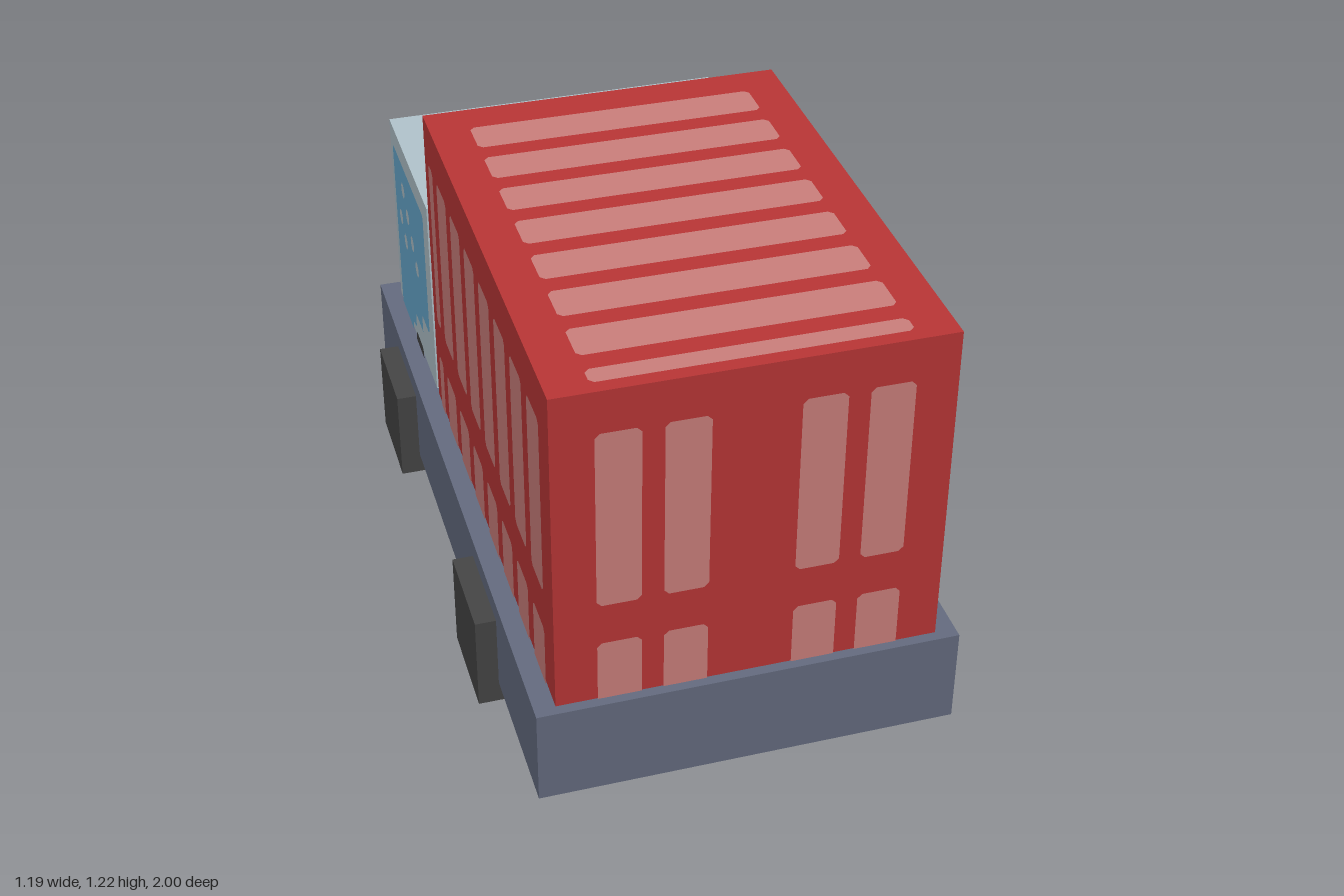
import * as THREE from 'three';

const mat = (name, color) => {
  const m = new THREE.MeshStandardMaterial({ color });
  m.name = name;
  return m;
};

export function createModel() {
  const red = mat('containerRed', 0xb73535);
  const pink = mat('panelPink', 0xc87d7a);
  const pale = mat('cabPaleBlue', 0xafc1c9);
  const blue = mat('glassBlue', 0x65a6cb);
  const slate = mat('chassisSlate', 0x636a7e);
  const dark = mat('tyreGrey', 0x444444);

  const truck = new THREE.Group();
  truck.name = 'truck';

  // Box given by its extents on each axis
  function box(name, material, x0, x1, y0, y1, z0, z1) {
    const mesh = new THREE.Mesh(new THREE.BoxGeometry(x1 - x0, y1 - y0, z1 - z0), material);
    mesh.position.set((x0 + x1) / 2, (y0 + y1) / 2, (z0 + z1) / 2);
    mesh.name = name;
    truck.add(mesh);
  }

  // Group lying on one face of the body; its local x/y run across that face
  function face(name, x, y, z, rx, ry) {
    const g = new THREE.Group();
    g.name = name;
    g.position.set(x, y, z);
    g.rotation.set(rx, ry, 0);
    truck.add(g);
    return g;
  }

  // Flat painted shape with clipped corners where asked
  function plate(parent, name, material, points, lift = 0.003) {
    const shape = new THREE.Shape(points.map(([x, y]) => new THREE.Vector2(x, y)));
    const mesh = new THREE.Mesh(new THREE.ShapeGeometry(shape), material);
    mesh.position.z = lift;
    mesh.name = name;
    parent.add(mesh);
  }
  function clipped(cx, cy, w, h, c = 0.012, cb = c) {
    const x = w / 2, y = h / 2;
    return [[-x + cb, -y], [x - cb, -y], [x, -y + cb], [x, y - c], [x - c, y], [-x + c, y], [-x, y - c], [-x, -y + cb]]
      .map(([a, b]) => [a + cx, b + cy]);
  }

  // Main bodies
  box('chassis', slate, -0.54, 0.54, 0.06, 0.325, -1, 1);
  box('container', red, -0.486, 0.486, 0.31, 1.22, -0.38, 0.973);
  box('cab', pale, -0.486, 0.486, 0.31, 0.92, -0.943, -0.407);

  // Block wheels
  for (const s of [-1, 1]) {
    for (const z of [-0.597, 0.433]) {
      box('wheel', dark, Math.min(s * 0.435, s * 0.595), Math.max(s * 0.435, s * 0.595), 0, 0.27, z - 0.135, z + 0.135);
    }
  }

  // Container panels: a tall upper row and a lower row cut by the chassis
  function panelColumn(parent, u, w) {
    plate(parent, 'upperPanel', pink, clipped(u, 0.86, w, 0.495));
    plate(parent, 'lowerPanel', pink, clipped(u, 0.4115, w, 0.173, 0.012, 0.0001));
  }
  const mid = 0.2965;
  const ends = [face('containerFront', 0, 0, 0.973, 0, 0), face('containerBack', 0, 0, -0.38, 0, Math.PI)];
  for (const end of ends) {
    for (const u of [-0.327, -0.163, 0.161, 0.325]) panelColumn(end, u, 0.11);
  }
  for (const s of [-1, 1]) {
    const side = face('containerSide', s * 0.486, 0, mid, 0, s * Math.PI / 2);
    panelColumn(side, -0.591, 0.053);
    for (let i = 0; i < 7; i++) panelColumn(side, -0.456 + i * 0.1655, 0.114);
  }
  const roof = face('containerRoof', 0, 1.22, 0, -Math.PI / 2, 0);
  for (let i = 0; i < 7; i++) plate(roof, 'roofPanel', pink, clipped(0, 0.2175 - i * 0.1655, 0.765, 0.111));
  plate(roof, 'roofPanel', pink, clipped(0, -0.9135, 0.765, 0.053));

  // Windscreen with diagonal glints
  const screen = face('windscreen', 0, 0, -0.943, 0, Math.PI);
  plate(screen, 'windscreenGlass', blue, clipped(0, 0.5955, 0.866, 0.541, 0.01, 0.0001));
  for (let i = 0; i < 8; i++) {
    plate(screen, 'longGlint', pale, clipped(-0.268 + i * 0.0475, 0.402 + i * 0.054, 0.105, 0.062, 0.014), 0.005);
  }
  for (let i = 0; i < 3; i++) {
    plate(screen, 'shortGlint', pale, clipped(0.083 + i * 0.05, 0.564 + i * 0.05, 0.046, 0.046, 0.014), 0.005);
  }

  // Side windows with a stepped lower rear corner, glints and a handle
  for (const s of [-1, 1]) {
    const side = face('cabSide', s * 0.486, 0, 0, 0, s * Math.PI / 2);
    const flip = (pts) => pts.map(([u, v]) => [s * u, v]);
    plate(side, 'sideWindow', blue, flip([
      [0.727, 0.325], [0.893, 0.325], [0.893, 0.856], [0.883, 0.866], [0.47, 0.866], [0.46, 0.856],
      [0.46, 0.486], [0.47, 0.476], [0.567, 0.476], [0.567, 0.417], [0.664, 0.417], [0.674, 0.407],
      [0.674, 0.368], [0.717, 0.358], [0.727, 0.348],
    ]));
    plate(side, 'doorHandle', dark, flip(clipped(0.62, 0.3415, 0.107, 0.033, 0.012, 0.0001)), 0.005);
    const dots = [[0.593, 0.615], [0.647, 0.669], [0.701, 0.727], [0.754, 0.786], [0.754, 0.615], [0.808, 0.669]];
    for (const [u, v] of dots) plate(side, 'windowGlint', pale, flip(clipped(u, v, 0.045, 0.045, 0.014)), 0.005);
  }

  return truck;
}
